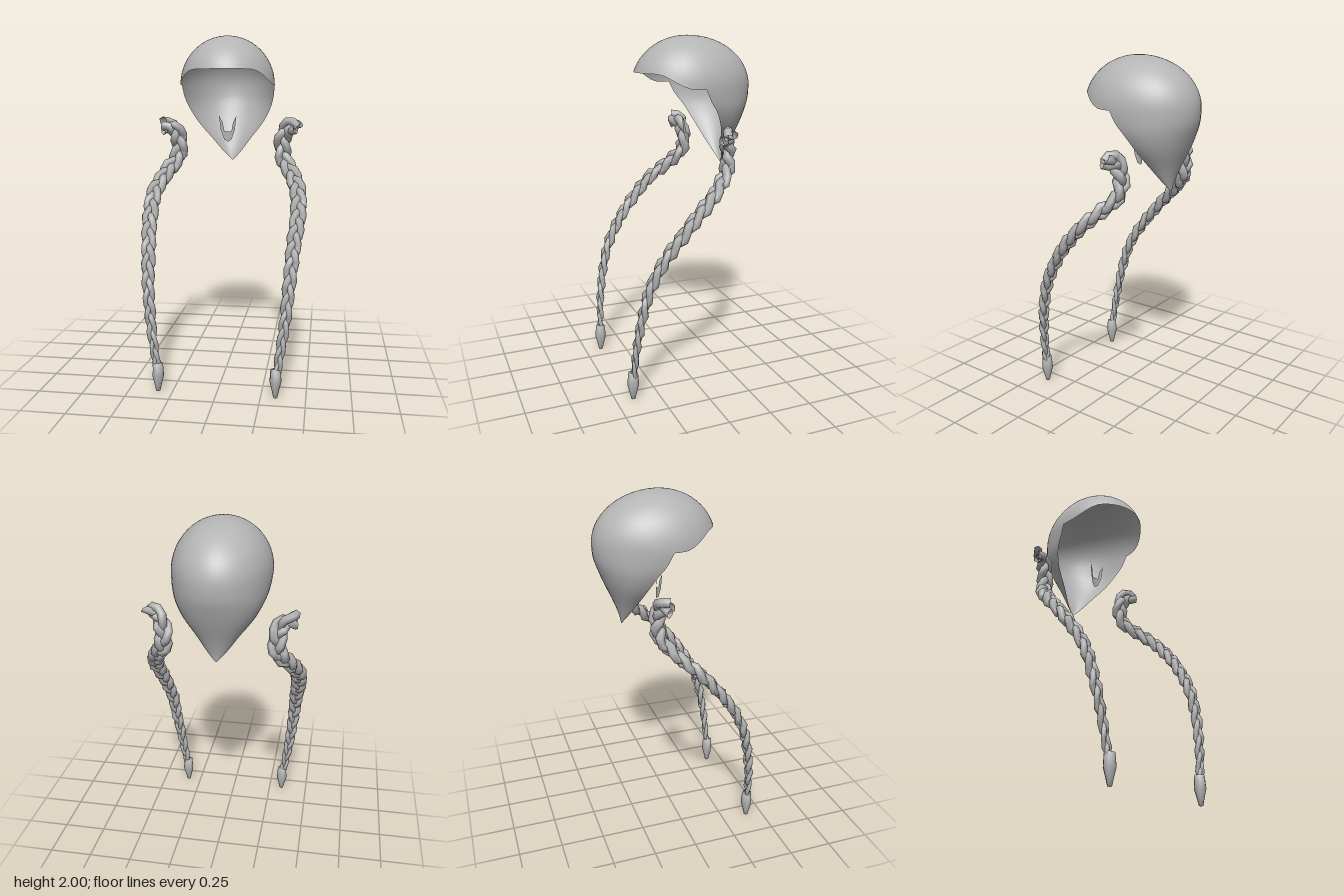
import * as THREE from 'three';

const gray = new THREE.MeshStandardMaterial({ color: 0xb4b4b4, side: THREE.DoubleSide });
gray.name = 'plain gray';

const V = (x, y, z) => new THREE.Vector3(x, y, z);

function part(name, geometry) {
  const mesh = new THREE.Mesh(geometry, gray);
  mesh.name = name;
  return mesh;
}

// Open hair cap: an egg-shaped dome, drawn out behind into a point at the nape
function capGeometry() {
  const cols = 48, upper = 14, lower = 14, quarter = cols / 4;
  const midY = 1.72, midZ = -0.06, width = 0.275, height = 0.28;
  const pos = [], index = [];
  const angle = j => -Math.PI + 2 * Math.PI * j / cols;

  // dome, ending at a brow line that rises towards the front
  for (let i = 0; i <= upper; i++) {
    for (let j = 0; j < cols; j++) {
      const a = angle(j), c = Math.cos(a), depth = c > 0 ? 0.37 : 0.32;
      const rimZ = midZ - depth * c;
      const rise = 0.08 * Math.pow(THREE.MathUtils.smoothstep(rimZ, -0.01, 0.2), 1.2);
      const theta = Math.max(0.001, Math.acos(rise / height) * i / upper);
      const s = Math.sin(theta);
      pos.push(width * Math.sin(a) * s, midY + height * Math.cos(theta), midZ - depth * c * s);
    }
  }
  const quad = (a, b, c, d) => index.push(a, b, c, b, d, c);
  for (let i = 0; i < upper; i++) {
    for (let j = 0; j < cols; j++) {
      const k = (j + 1) % cols;
      quad(i * cols + j, i * cols + k, (i + 1) * cols + j, (i + 1) * cols + k);
    }
  }

  // nape: half-ellipse rows (half width, height, back z) around a receding rim
  const back = new THREE.CatmullRomCurve3([
    V(0.275, 1.72, -0.43), V(0.266, 1.65, -0.424), V(0.248, 1.59, -0.405), V(0.2, 1.5, -0.37),
    V(0.12, 1.4, -0.325), V(0.05, 1.31, -0.292), V(0.002, 1.26, -0.282)]);
  const rim = new THREE.CatmullRomCurve3([
    V(0, 1.72, -0.06), V(0, 1.65, -0.095), V(0, 1.59, -0.14), V(0, 1.5, -0.185),
    V(0, 1.4, -0.222), V(0, 1.31, -0.262), V(0, 1.26, -0.281)]);
  let previous = j => upper * cols + quarter + j;
  for (let i = 1; i <= lower; i++) {
    const b = back.getPoint(i / lower), r = rim.getPoint(i / lower), start = pos.length / 3;
    for (let j = 0; j <= 2 * quarter; j++) {
      const a = angle(j + quarter);
      pos.push(b.x * Math.sin(a), b.y, r.z + (b.z - r.z) * Math.cos(a));
    }
    const row = j => start + j;
    for (let j = 0; j < 2 * quarter; j++) quad(previous(j), previous(j + 1), row(j), row(j + 1));
    previous = row;
  }

  const g = new THREE.BufferGeometry();
  g.setAttribute('position', new THREE.Float32BufferAttribute(pos, 3));
  g.setIndex(index);
  g.computeVertexNormals();
  return g;
}

// Small forked plate, bent around the middle
function forkGeometry() {
  const half = [[0, 1.385], [0.022, 1.4], [0.042, 1.455], [0.052, 1.54], [0.031, 1.5], [0.021, 1.447]];
  const mirrored = half.slice(1).reverse().map(([x, y]) => [-x, y]);
  const shape = new THREE.Shape([...half, ...mirrored].map(([x, y]) => new THREE.Vector2(x, y)));
  const g = new THREE.ShapeGeometry(shape);
  const p = g.attributes.position;
  for (let i = 0; i < p.count; i++) p.setZ(i, -0.075 + 0.4 * Math.abs(p.getX(i)));
  g.computeVertexNormals();
  return g;
}

// One strand weaving a flat figure-eight around the braid's centre line
class Strand extends THREE.Curve {
  constructor(path, phase) {
    super();
    this.path = path;
    this.phase = phase;
  }
  getPoint(t, target = V(0, 0, 0)) {
    const tangent = this.path.getTangentAt(t);
    const side = tangent.clone().cross(V(0, 0.45, 0.9)).normalize();
    const front = side.clone().cross(tangent);
    const w = 2 * Math.PI * (5.5 * t) + this.phase, s = taper(t);
    return target.copy(this.path.getPointAt(t))
      .addScaledVector(side, 0.03 * s * Math.sin(w))
      .addScaledVector(front, 0.017 * s * Math.sin(2 * w));
  }
}
const taper = t => 1 - 0.55 * Math.pow(t, 1.8);

function strandGeometry(path, phase) {
  const segments = 44, sides = 6, curve = new Strand(path, phase);
  const g = new THREE.TubeGeometry(curve, segments, 0.027, sides, false);
  const p = g.attributes.position, v = V(0, 0, 0);
  for (let i = 0; i <= segments; i++) {
    const centre = curve.getPointAt(i / segments);
    for (let j = 0; j <= sides; j++) {
      const k = i * (sides + 1) + j;
      v.fromBufferAttribute(p, k).sub(centre).multiplyScalar(taper(i / segments)).add(centre);
      p.setXYZ(k, v.x, v.y, v.z);
    }
  }
  return g;
}

// Braid: hooked at the top, sweeping forward and down to a tuft
function braid(name, side) {
  const group = new THREE.Group();
  group.name = name;
  const path = new THREE.CatmullRomCurve3([
    [0.41, 1.475, -0.13], [0.355, 1.475, -0.155], [0.32, 1.4, -0.17], [0.325, 1.29, -0.165],
    [0.38, 1.2, -0.09], [0.425, 1.1, 0.02], [0.43, 0.98, 0.13], [0.415, 0.84, 0.235],
    [0.402, 0.7, 0.31], [0.39, 0.54, 0.355], [0.368, 0.35, 0.385], [0.34, 0.15, 0.4],
  ].map(([x, y, z]) => V(side * x, y, z)));
  for (let i = 0; i < 3; i++) {
    group.add(part('strand' + (i + 1), strandGeometry(path, side * i * 2 * Math.PI / 3)));
  }
  const profile = [[0, 0], [0.012, 0.004], [0.02, 0.04], [0.034, 0.095], [0.029, 0.165], [0, 0.167]];
  const tuft = part('tuft', new THREE.LatheGeometry(
    profile.map(([r, y]) => new THREE.Vector2(r, y)), 7));
  tuft.position.set(side * 0.332, 0, 0.402);
  group.add(tuft);
  return group;
}

export function createModel() {
  const model = new THREE.Group();
  model.name = 'braidedHair';
  model.add(part('hairCap', capGeometry()));
  model.add(part('fork', forkGeometry()));
  model.add(braid('leftBraid', 1), braid('rightBraid', -1));
  return model;
}
